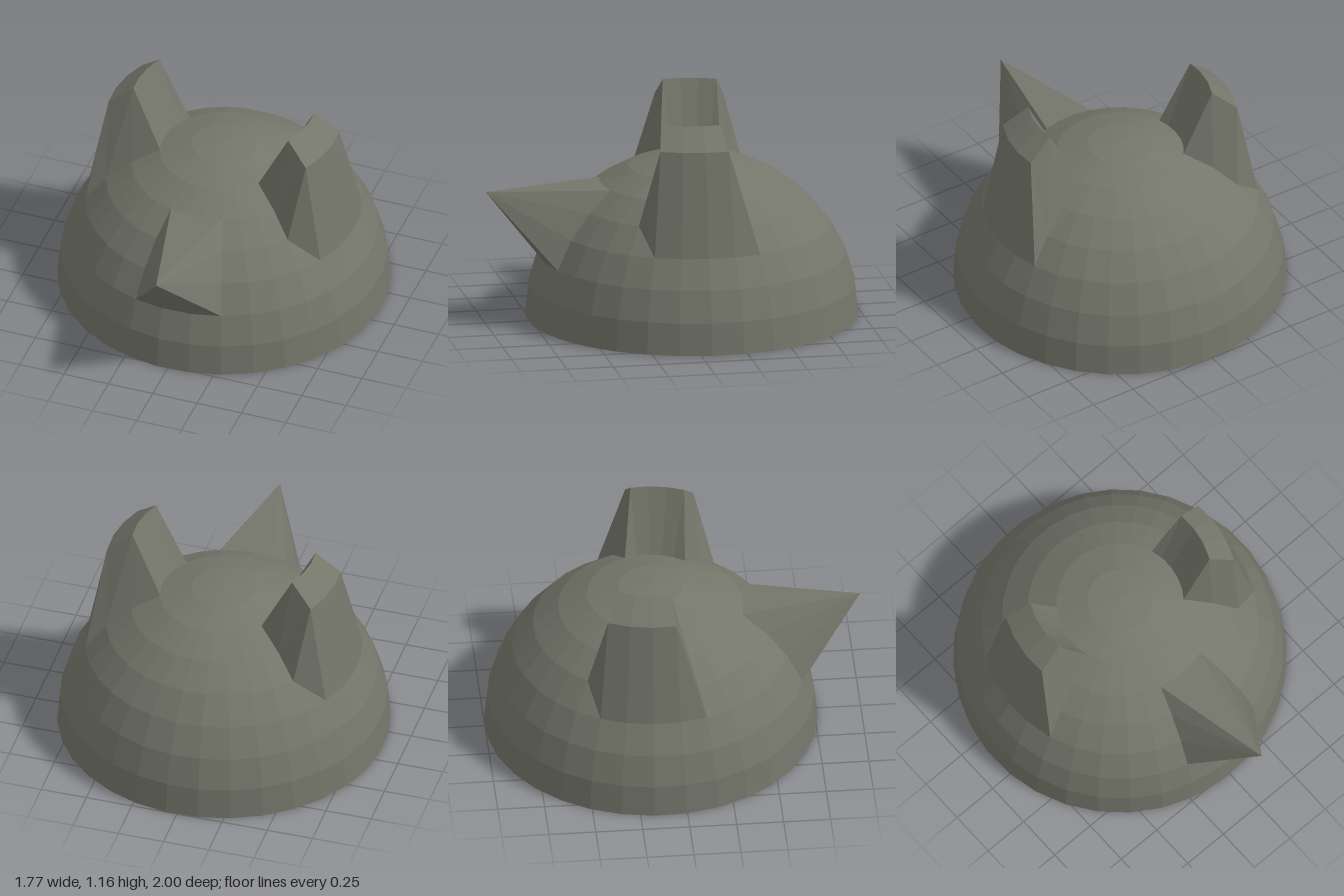
import * as THREE from 'three';

const RADIUS = 0.885, CENTER_Z = -0.117, SECTORS = 32, RINGS = 8;
const EAR_LIFT = 0.42;
const BEAK_TIP = new THREE.Vector3(0.02, 0.725, 1.0);
const STEP = THREE.MathUtils.degToRad(11.25);
const START = THREE.MathUtils.degToRad(-3.86);

const material = new THREE.MeshStandardMaterial({ color: 0x74766a, flatShading: true });

const inRange = (v, a, b) => v >= a && v <= b;
const wrap = (i) => (i + SECTORS) % SECTORS;

// Dome grid point: sector i runs from the front towards +x, ring j from rim to crown.
// Two blocks of points are lifted into ears, four front points meet at the beak tip.
function point(i, j) {
  i = wrap(i);
  if (i <= 1 && (j === 3 || j === 4)) return BEAK_TIP;
  const angle = START + i * STEP, r = RADIUS * Math.cos(j * STEP);
  const ear = (inRange(i, 6, 9) || inRange(i, 22, 25)) && (j === 4 || j === 5);
  return new THREE.Vector3(
    r * Math.sin(angle),
    RADIUS * Math.sin(j * STEP) + (ear ? EAR_LIFT : 0),
    CENTER_Z + r * Math.cos(angle)
  );
}

// Grid cells split along the other diagonal, at corners of the ears and beak
const flipped = new Set(['9,5', '25,5', '31,2', '1,4']);

// Which part a grid cell belongs to
function partOf(i, j) {
  if (inRange(j, 2, 4) && (i <= 1 || i === 31)) return 'beak';
  if (inRange(j, 3, 5) && inRange(i, 5, 9)) return 'leftEar';
  if (inRange(j, 3, 5) && inRange(i, 21, 25)) return 'rightEar';
  return 'dome';
}

export function createModel() {
  const group = new THREE.Group();
  const parts = { dome: [], leftEar: [], rightEar: [], beak: [], base: [] };
  const tri = (list, a, b, c) => {
    const area = new THREE.Triangle(a, b, c).getArea();
    if (area > 1e-7) list.push(a, b, c);
  };

  // Dome, ears and beak
  for (let i = 0; i < SECTORS; i++) {
    for (let j = 0; j < RINGS; j++) {
      const list = parts[partOf(i, j)];
      const a = point(i, j), b = point(i + 1, j), c = point(i + 1, j + 1), d = point(i, j + 1);
      if (flipped.has(`${i},${j}`)) {
        tri(list, a, b, c);
        tri(list, a, c, d);
      } else {
        tri(list, a, b, d);
        tri(list, b, c, d);
      }
    }
    // Flat underside
    tri(parts.base, new THREE.Vector3(0, 0, CENTER_Z), point(i + 1, 0), point(i, 0));
  }

  for (const [name, points] of Object.entries(parts)) {
    const geometry = new THREE.BufferGeometry().setFromPoints(points);
    geometry.computeVertexNormals();
    const mesh = new THREE.Mesh(geometry, material);
    mesh.name = name;
    group.add(mesh);
  }
  return group;
}
